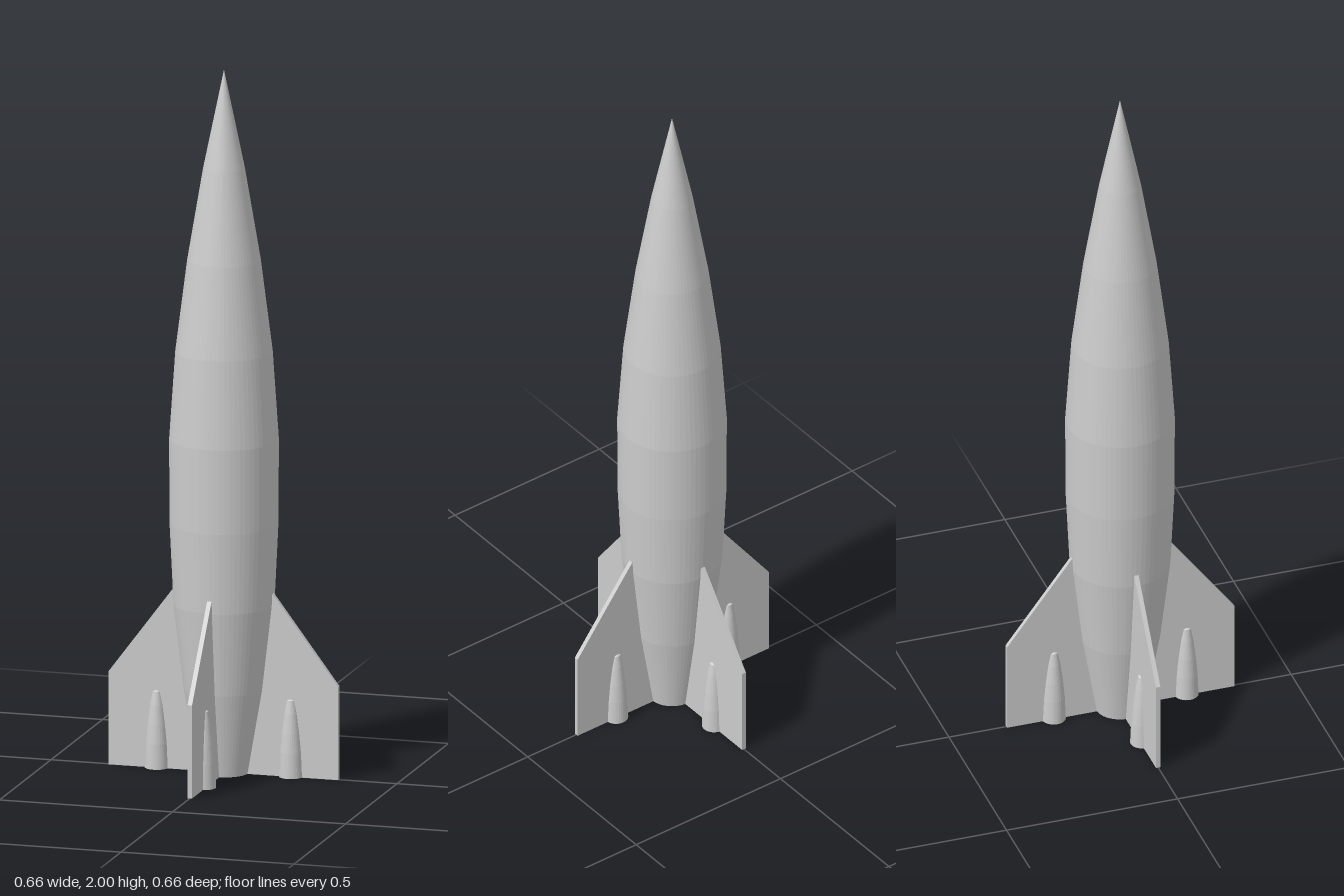
import * as THREE from 'three';

const material = new THREE.MeshStandardMaterial({ color: 0xcccccc, flatShading: true });

// Closed solid of revolution from [radius, height] pairs, bottom to top
function turned(name, profile, segments) {
  const points = profile.map(([r, y]) => new THREE.Vector2(r, y));
  const mesh = new THREE.Mesh(new THREE.LatheGeometry(points, segments), material);
  mesh.name = name;
  return mesh;
}

export function createModel() {
  const rocket = new THREE.Group();
  rocket.name = 'rocket';

  // Spindle-shaped hull with a flat base
  rocket.add(turned('hull', [
    [0, 0], [0.07, 0], [0.112, 0.24], [0.14, 0.48], [0.151, 0.71], [0.152, 0.95],
    [0.135, 1.2], [0.102, 1.46], [0.058, 1.72], [0, 2],
  ], 64));

  // Fin outline in the radial plane; its inner edge is buried in the hull
  const outline = new THREE.Shape([
    [0.05, 0], [0.332, 0], [0.332, 0.265], [0.143, 0.517], [0.125, 0.517],
  ].map(([x, y]) => new THREE.Vector2(x, y)));
  const thickness = 0.013;
  const finGeometry = new THREE.ExtrudeGeometry(outline, { depth: thickness, bevelEnabled: false });
  finGeometry.translate(0, 0, -thickness / 2);

  // Four fins, each carrying a small tapered booster
  for (let i = 0; i < 4; i++) {
    const assembly = new THREE.Group();
    assembly.name = 'finAssembly' + (i + 1);

    const fin = new THREE.Mesh(finGeometry, material);
    fin.name = 'fin';

    const booster = turned('booster', [
      [0, 0], [0.034, 0], [0.031, 0.07], [0.026, 0.125], [0.019, 0.18], [0.012, 0.217], [0, 0.225],
    ], 32);
    booster.position.x = 0.194;

    assembly.add(fin, booster);
    assembly.rotation.y = i * Math.PI / 2;
    rocket.add(assembly);
  }
  return rocket;
}
